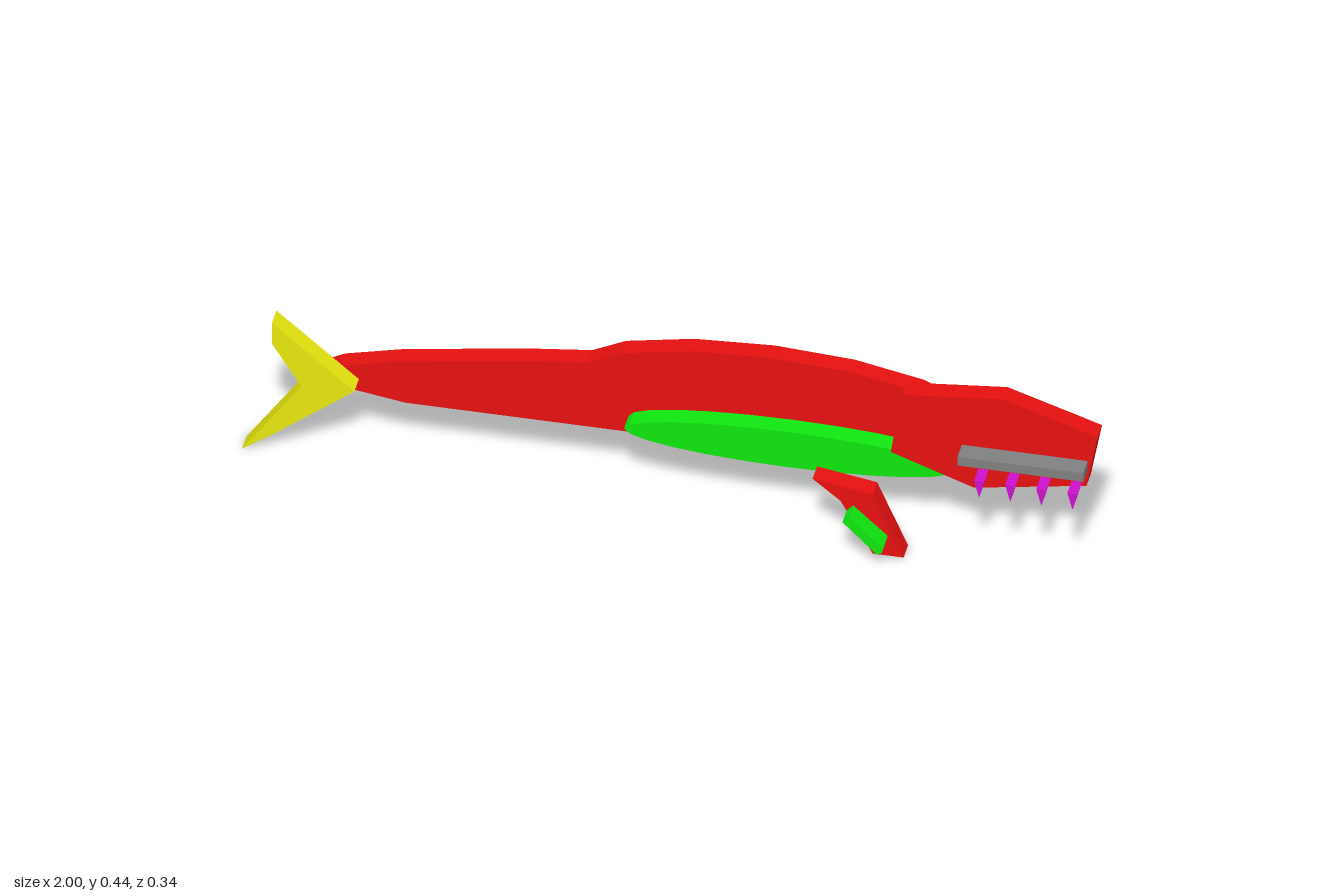
import * as THREE from 'three';

const T = 0.048; // thickness of every layer

const mat = (name, color) => {
  const m = new THREE.MeshStandardMaterial({ color });
  m.name = name;
  return m;
};

// Points around a faceted ellipse, between two angles in degrees
function arc(cx, cy, rx, ry, sides, from = 0, to = 360 - 360 / sides) {
  const pts = [];
  for (let a = from; a <= to + 1e-6; a += 360 / sides) {
    const r = THREE.MathUtils.degToRad(a);
    pts.push([cx + rx * Math.cos(r), cy + ry * Math.sin(r)]);
  }
  return pts;
}

// Flat cut-out whose back lies at z
function slab(name, points, z, material) {
  const shape = new THREE.Shape(points.map(([x, y]) => new THREE.Vector2(x, y)));
  const geo = new THREE.ExtrudeGeometry(shape, { depth: T, bevelEnabled: false });
  const mesh = new THREE.Mesh(geo, material);
  mesh.name = name;
  mesh.position.z = z;
  return mesh;
}

export function createModel() {
  const red = mat('red', 0xee1111);
  const green = mat('green', 0x11ee11);
  const yellow = mat('yellow', 0xeeee11);
  const blue = mat('blue', 0x1111ee);
  const magenta = mat('magenta', 0xcc11cc);
  const grey = mat('grey', 0x808080);

  const model = new THREE.Group();
  model.name = 'layeredSeaCreature';

  // Body: faceted oval running into a tapering tail
  const body = [
    ...arc(0.22, 0.274, 0.49, 0.144, 16, -112.5, 135),
    [-0.205, 0.337], [-0.355, 0.318], [-0.645, 0.27], [-0.78, 0.236],
    [-0.83, 0.21], [-0.78, 0.178], [-0.63, 0.155], [-0.06, 0.155],
  ];
  model.add(slab('body', body, -0.072, red));

  // Belly
  model.add(slab('belly', arc(0.273, 0.2, 0.383, 0.05, 24), -0.024, green));

  // Tail fin
  model.add(slab('tailFin', [
    [-0.93, 0.37], [-0.93, 0.31], [-0.862, 0.2], [-1, 0],
    [-0.925, 0.055], [-0.738, 0.205],
  ], -0.024, yellow));

  // Head
  model.add(slab('head', [
    [0.543, 0.417], [0.778, 0.441], [0.998, 0.368],
    [0.972, 0.226], [0.71, 0.179], [0.516, 0.25],
  ], 0, red));

  // Mouth bar and teeth
  model.add(slab('mouth', [
    [0.682, 0.273], [0.975, 0.273], [0.975, 0.297], [0.682, 0.297],
  ], 0.048, grey));
  for (let i = 0; i < 4; i++) {
    const x = 0.743 + i * 0.0725;
    model.add(slab('tooth', [
      [x - 0.012, 0.273], [x, 0.227], [x + 0.012, 0.273],
    ], 0.097, magenta));
  }

  // Front flipper with its stripe
  model.add(slab('flipper', [
    [0.35, 0.201], [0.415, 0.148], [0.49, 0.01], [0.562, 0.01], [0.49, 0.178],
  ], 0.073, red));
  model.add(slab('flipperStripe', [
    [0.43, 0.125], [0.445, 0.14], [0.525, 0.066],
    [0.522, 0.052], [0.51, 0.045],
  ], 0.121, green));

  // Pair of far-side fins
  for (const x of [0.01, 0.396]) {
    model.add(slab('farFin', [
      [x, 0.25], [x + 0.07, 0.297], [x + 0.14, 0.225],
      [x + 0.215, 0.13], [x + 0.115, 0.13],
    ], -0.168, blue));
  }

  return model;
}
